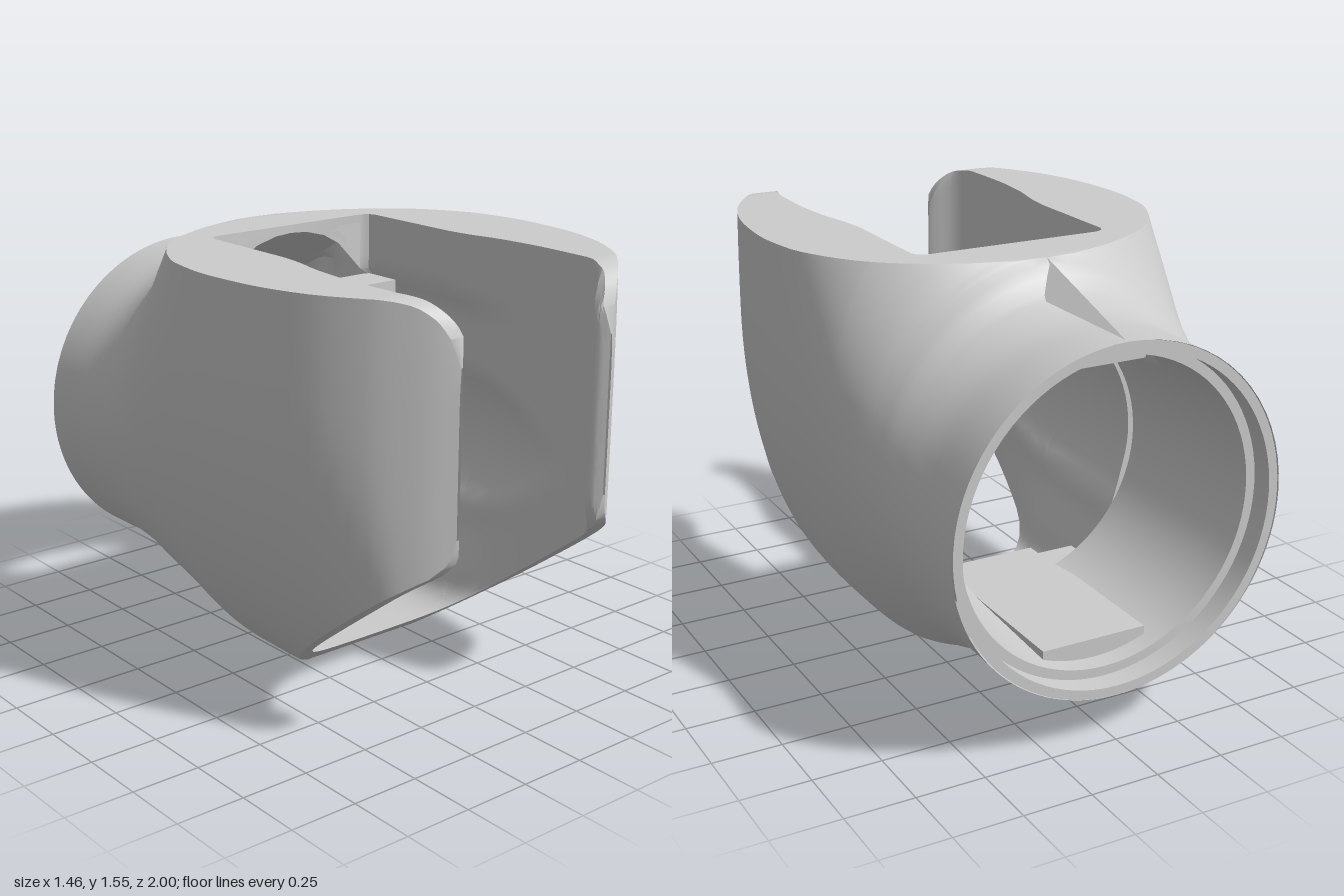
import * as THREE from 'three';
import { toCreasedNormals } from 'three/addons/utils/BufferGeometryUtils.js';

const { smoothstep } = THREE.MathUtils;

// Monotone cubic interpolation through [z, value] pairs
function curve(pts) {
  const slope = i => (pts[i + 1][1] - pts[i][1]) / (pts[i + 1][0] - pts[i][0]);
  const tangent = i => {
    if (i === 0) return slope(0);
    if (i === pts.length - 1) return slope(i - 1);
    const a = slope(i - 1), b = slope(i);
    return a * b <= 0 ? 0 : 2 * a * b / (a + b);
  };
  return z => {
    if (z <= pts[0][0]) return pts[0][1];
    for (let i = 0; i < pts.length - 1; i++) {
      const [z0, v0] = pts[i], [z1, v1] = pts[i + 1];
      if (z > z1) continue;
      const h = z1 - z0, t = (z - z0) / h, u = 1 - t;
      return v0 * u * u * (1 + 2 * t) + v1 * t * t * (3 - 2 * t)
        + h * (tangent(i) * t * u * u - tangent(i + 1) * t * t * u);
    }
    return pts[pts.length - 1][1];
  };
}

// Shape of the shell along its depth
const topHalf = curve([[-0.5, 0], [-0.495, 0.09], [-0.48, 0.15], [-0.45, 0.25], [-0.4, 0.36], [-0.3, 0.51], [-0.2, 0.6],
  [-0.1, 0.66], [0, 0.7], [0.2, 0.725], [0.4, 0.71], [0.6, 0.66], [0.8, 0.55], [0.9, 0.46], [0.95, 0.405], [1, 0.335]]);
const maxHalf = curve([[-1, 0.62], [-0.8, 0.615], [-0.6, 0.635], [-0.4, 0.67], [-0.2, 0.705], [0, 0.722], [0.2, 0.73],
  [0.4, 0.715], [0.6, 0.665], [0.8, 0.555], [0.9, 0.465], [0.95, 0.41], [1, 0.34]]);
const topY = curve([[-1, 1.4], [-0.8, 1.4], [-0.7, 1.415], [-0.6, 1.46], [-0.5, 1.55], [0.82, 1.55], [0.9, 1.535],
  [0.95, 1.495], [0.98, 1.43], [1, 1.34]]);
const midY = curve([[-1, 0.785], [-0.8, 0.785], [-0.5, 0.86], [0, 1.15], [1, 1.2]]);
const baseY = curve([[-1, 0.17], [-0.8, 0.17], [-0.6, 0.14], [-0.35, 0.065], [-0.1, 0], [1, 0]]);
const baseHalf = curve([[-0.6, 0], [-0.3, 0.05], [0, 0.12], [1, 0.12]]);
const power = curve([[-1, 2], [0.6, 2], [0.8, 2.6], [0.9, 4], [1, 5]]);
const cavityHalf = curve([[-0.28, 0.33], [-0.265, 0.36], [-0.24, 0.37], [0.15, 0.37], [0.25, 0.38], [0.4, 0.41], [0.6, 0.425],
  [0.8, 0.42], [0.87, 0.395], [0.92, 0.34], [0.95, 0.3], [0.97, 0.305], [1, 0.33]]);
const boreFade = curve([[-0.28, 0.51], [0, 0.51], [0.3, 0.49], [0.6, 0.44], [0.7, 0.42]]);
const CUT = [[-0.1, 0], [0.13, 0.03], [0.95, 0.65], [0.98, 0.69], [0.993, 0.73], [1, 0.78]];
const FLOOR = 0.09, FLOOR_END = 0.21, BACK = -0.28, AXIS = 0.785;

// Sloping plane that trims the underside
function cutY(z) {
  const i = Math.max(0, CUT.findIndex((p, k) => k < CUT.length - 1 && z <= CUT[k + 1][0]));
  const [a, b] = [CUT[i], CUT[i + 1]];
  return z <= a[0] ? baseY(z) : a[1] + (b[1] - a[1]) * (z - a[0]) / (b[0] - a[0]);
}

// Cavity half width: rounded floor corner, bore running on forwards, flared front lips
function cavityX(z, y) {
  const k = Math.min(1, Math.max(0, (0.3 - y) / (0.3 - FLOOR)));
  let x = cavityHalf(z) * Math.pow(1 - k ** 4, 0.25);
  if (z < 0.7) {
    const wide = smoothstep(y, 0.22, 0.45) * (1 - smoothstep(y, 1.27, 1.32));
    x += Math.max(0, 0.42 - x) * wide;
    x = Math.max(x, Math.sqrt(Math.max(0, boreFade(z) ** 2 - (y - AXIS) ** 2)));
  }
  if (z > 0.85) {
    const flare = y < 0.8 ? 0.12 * ((0.8 - y) / 0.25) ** 2 : 0.1 * (Math.max(0, y - 1.38) / 0.17) ** 2;
    x = Math.max(x, 0.3 + Math.min(flare, 0.12));
  }
  return x;
}

// Distance from the axis to the tube wall, including the ramped roof pocket
function tubeRadius(z, bore, sin, cos) {
  if (z < -0.62 || cos < 0.05) return bore;
  const roof = 1.3 + 0.22 * (z + 0.62) / 0.34;
  return Math.max(bore, Math.min(0.36 / Math.max(sin, 1e-6), (roof - AXIS) / cos));
}

// Half section at depth z; a bore radius gives the tube, none the open cavity
function section(z, bore) {
  const pts = [], add = (x, y) => pts.push([x, y, z]);
  const low = cutY(z), ym = midY(z), yb = baseY(z), yt = topY(z), wm = maxHalf(z), n = power(z), b = baseHalf(z);
  const flat = Math.min(topHalf(z) / wm, 1);
  const open = !bore && z > FLOOR_END;
  add(open ? cavityX(z, low) : 0, low);
  for (let i = 0; i <= 24; i++) {
    const y = low + (ym - low) * (1 - Math.cos(i / 24 * Math.PI / 2));
    const x = b + (wm - b) * Math.pow(Math.max(0, 1 - Math.pow((ym - y) / (ym - yb), n)), 1 / n);
    add(open ? Math.max(x, cavityX(z, y) + 0.005) : x, y);
  }
  for (let i = 1; i <= 16; i++) {
    const s = Math.sin(i / 16 * Math.PI / 2);
    add(wm * Math.sqrt(Math.max(0, 1 - s * s * (1 - flat * flat))), ym + (yt - ym) * s);
  }
  add(bore ? 0 : cavityX(z, yt), yt);
  const end = open ? low : FLOOR;
  for (let i = 0; i <= 44; i++) {
    const s = i / 44;
    if (bore) {
      const sin = i % 44 ? Math.sin(s * Math.PI) : 0, cos = Math.cos(s * Math.PI), r = tubeRadius(z, bore, sin, cos);
      add(r * sin, AXIS + r * cos);
    } else {
      const y = yt + (end - yt) * Math.sin(s * Math.PI / 2);
      add(!open && i === 44 ? 0 : cavityX(z, y), y);
    }
  }
  return pts;
}

// Skin the half sections and mirror them
function loft(rings) {
  const pos = [], A = new THREE.Vector3(), B = new THREE.Vector3();
  const tri = (p, q, r) => {
    A.set(q[0] - p[0], q[1] - p[1], q[2] - p[2]);
    B.set(r[0] - p[0], r[1] - p[1], r[2] - p[2]);
    if (A.cross(B).length() < 1e-9) return;
    if (Math.max(p[0], q[0], r[0]) < 1e-6) return;
    pos.push(...p, ...q, ...r);
    for (const v of [p, r, q]) pos.push(-v[0], v[1], v[2]);
  };
  for (let i = 0; i < rings.length - 1; i++) {
    const r0 = rings[i], r1 = rings[i + 1], n = r0.length;
    for (let j = 0; j < n; j++) {
      const k = (j + 1) % n;
      tri(r0[j], r0[k], r1[k]);
      tri(r0[j], r1[k], r1[j]);
    }
  }
  const g = new THREE.BufferGeometry();
  g.setAttribute('position', new THREE.Float32BufferAttribute(pos, 3));
  return toCreasedNormals(g, 0.6);
}

export function createModel() {
  const group = new THREE.Group();
  const mat = new THREE.MeshStandardMaterial({ color: 0xcccccc, side: THREE.DoubleSide });
  const put = (name, geo) => {
    const m = new THREE.Mesh(geo, mat);
    m.name = name;
    group.add(m);
    return m;
  };
  const box = (name, x0, x1, y0, y1, z0, z1) =>
    put(name, new THREE.BoxGeometry(x1 - x0, y1 - y0, z1 - z0)).position.set((x0 + x1) / 2, (y0 + y1) / 2, (z0 + z1) / 2);

  // Rear tube with stepped rim, then the open-fronted cavity
  const rings = [section(-1, 0.614), section(-1, 0.58), section(-0.92, 0.58), section(-0.92, 0.545)];
  for (const z of [-0.86, -0.8, -0.75, -0.7, -0.65, -0.62, -0.6, -0.56, -0.53, -0.5, -0.495, -0.48, -0.465, -0.45, -0.425, -0.4, -0.36, -0.32, BACK])
    rings.push(section(z, 0.51 + 0.035 * Math.min(1, (BACK - z) / 0.6)));
  for (const z of [BACK, -0.272, -0.265, -0.24, -0.2, -0.15, -0.1, -0.05, 0, 0.06, 0.13, 0.17, FLOOR_END, 0.2101, 0.213, 0.22, 0.235, 0.26,
    0.3, 0.35, 0.4, 0.46, 0.52, 0.58, 0.64, 0.7, 0.75, 0.8, 0.83, 0.86, 0.88, 0.9, 0.92, 0.935, 0.95, 0.96, 0.97, 0.98, 0.987, 0.993, 1])
    rings.push(section(z));
  put('shell', loft(rings));

  // Flat pads at the top and bottom of the bore
  box('upperPad', -0.2, 0.2, 1.26, 1.33, -0.8, -0.6);
  box('upperLip', -0.19, 0.37, 1.26, 1.32, -0.28, -0.12);
  box('upperLipSide', -0.37, -0.19, 1.26, 1.31, -0.28, -0.12);
  box('lowerPad', -0.2, 0.2, 0.24, 0.31, -0.85, -0.26);
  box('lowerStep', -0.18, 0.36, 0.24, 0.31, -0.28, -0.11);
  box('lowerStepSide', -0.36, -0.18, 0.22, 0.28, -0.28, -0.11);
  box('floorStepBase', -0.28, 0.28, 0.1, 0.18, -0.26, -0.11);
  box('floorStep', -0.33, 0.33, 0.18, 0.24, -0.26, -0.11);
  box('floorStepFront', -0.35, 0, 0.16, 0.21, -0.11, -0.05);

  // Small fin where the tube meets the body
  const fin = new THREE.BufferGeometry();
  fin.setAttribute('position', new THREE.Float32BufferAttribute([
    0, 1.55, -0.5, 0, 1.4, -0.98, 0.09, 1.45, -0.55,
    0, 1.55, -0.5, 0, 1.4, -0.98, -0.03, 1.41, -0.7], 3));
  fin.computeVertexNormals();
  put('neckFin', fin);
  return group;
}
